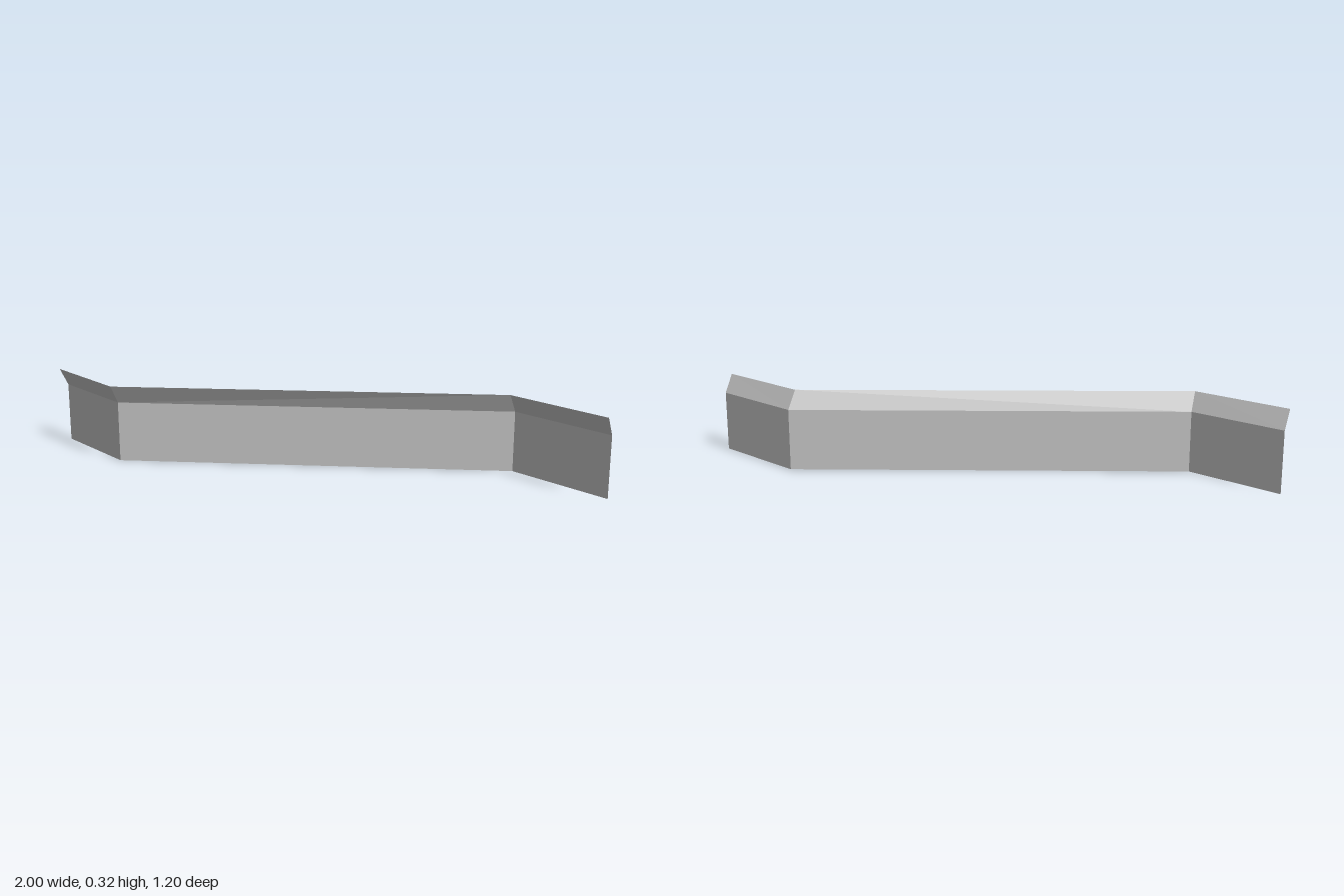
import * as THREE from 'three';

// Plan points [x, z] of the upright wall and of the lip's leaning top edge
const wallLine = [[-1, 0.56], [-0.578, 0.555], [0.536, -0.59], [0.99, -0.604]];
const lipLine = [[-0.992, 0.6], [-0.562, 0.594], [0.543, -0.55], [1, -0.564]];
const WALL_TOP = 0.245;
const LIP_TOP = 0.32;

// One four-cornered sheet between two heights, facing the front
function sheet(name, lower, y0, upper, y1, i, material) {
  const at = ([x, z], y) => [x, y, z];
  const a = at(lower[i], y0), b = at(lower[i + 1], y0);
  const c = at(upper[i + 1], y1), d = at(upper[i], y1);
  const geometry = new THREE.BufferGeometry();
  geometry.setAttribute('position', new THREE.Float32BufferAttribute([a, b, c, a, c, d].flat(), 3));
  geometry.computeVertexNormals();
  const mesh = new THREE.Mesh(geometry, material);
  mesh.name = name;
  return mesh;
}

export function createModel() {
  const model = new THREE.Group();
  model.name = 'zigzagBarrier';
  const grey = new THREE.MeshStandardMaterial({ color: 0xc8c8c8, side: THREE.DoubleSide, flatShading: true });
  grey.name = 'light grey';

  // Each panel is an upright wall with a lip leaning forward above it
  ['rightPanel', 'diagonalPanel', 'leftPanel'].forEach((name, i) => {
    const panel = new THREE.Group();
    panel.name = name;
    panel.add(
      sheet('wall', wallLine, 0, wallLine, WALL_TOP, i, grey),
      sheet('lip', wallLine, WALL_TOP, lipLine, LIP_TOP, i, grey),
    );
    model.add(panel);
  });
  return model;
}
